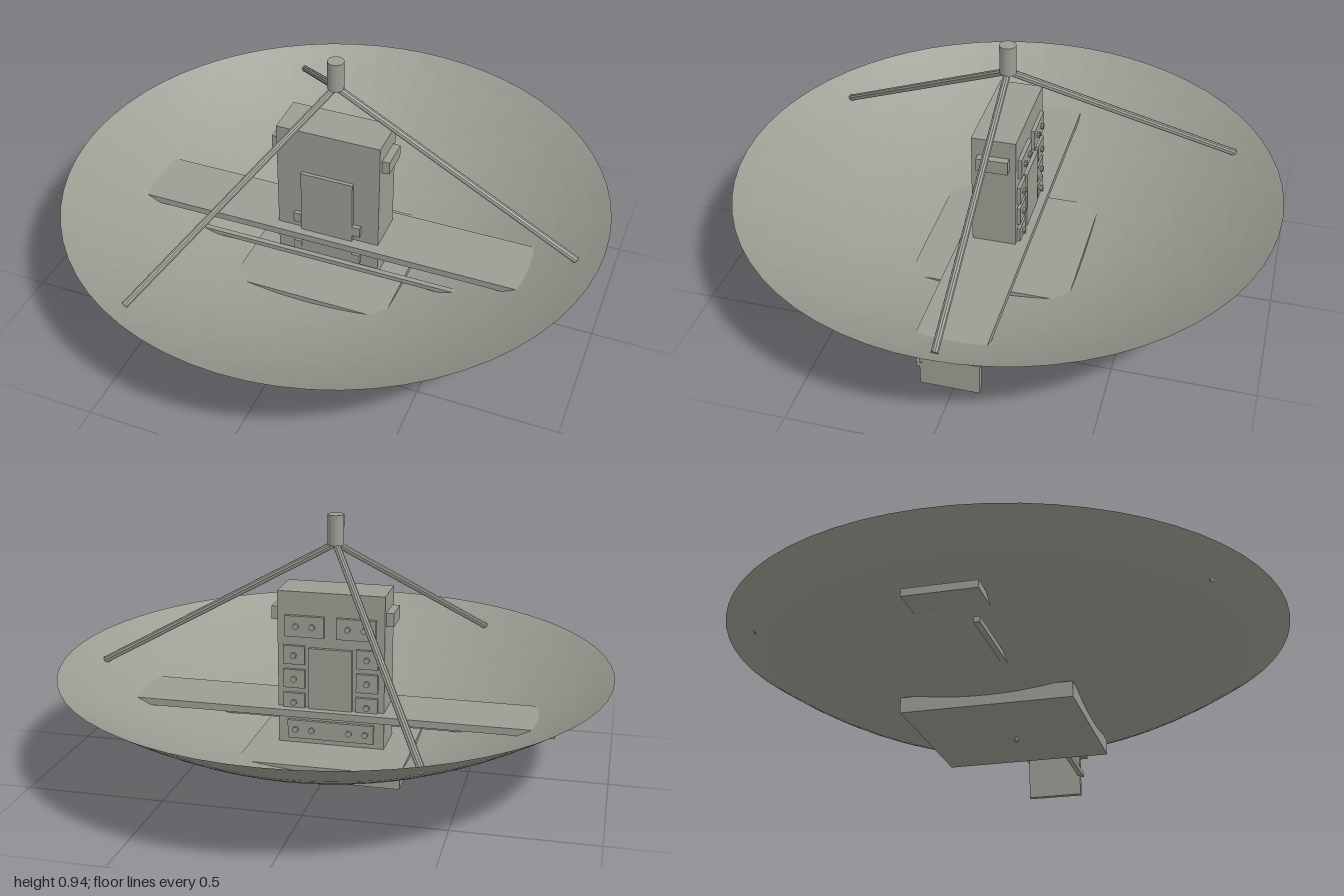
import * as THREE from 'three';

export function createModel() {
  const root = new THREE.Group();
  root.name = 'dishAntenna';
  const grey = new THREE.MeshStandardMaterial({ color: 0x9c9e94, flatShading: true, side: THREE.DoubleSide });
  grey.name = 'warmGrey';

  const add = (name, geo, x = 0, y = 0, z = 0) => {
    const m = new THREE.Mesh(geo, grey);
    m.name = name;
    m.position.set(x, y, z);
    root.add(m);
    return m;
  };
  // box given by its limits on each axis
  const box = (name, x0, x1, y0, y1, z0, z1) =>
    add(name, new THREE.BoxGeometry(x1 - x0, y1 - y0, z1 - z0), (x0 + x1) / 2, (y0 + y1) / 2, (z0 + z1) / 2);
  // round bar between two points
  const bar = (name, a, b, r, sides = 10) => {
    const d = b.clone().sub(a);
    const m = add(name, new THREE.CylinderGeometry(r, r, d.length(), sides));
    m.position.copy(a).add(b).multiplyScalar(0.5);
    m.quaternion.setFromUnitVectors(new THREE.Vector3(0, 1, 0), d.normalize());
    return m;
  };

  // parabolic dish
  const profile = [];
  for (let i = 0; i <= 16; i++) {
    const r = i / 16;
    profile.push(new THREE.Vector2(r, 0.04 + 0.345 * r * r));
  }
  add('dish', new THREE.LatheGeometry(profile, 64));

  // feed horn on a tripod
  add('feedHorn', new THREE.CylinderGeometry(0.03, 0.03, 0.11, 16), 0, 0.88, 0);
  for (let i = 0; i < 3; i++) {
    const a = (i * Math.PI * 2) / 3;
    bar('strut', new THREE.Vector3(0, 0.83, 0),
      new THREE.Vector3(0.905 * Math.cos(a), 0.325, 0.905 * Math.sin(a)), 0.013);
  }

  // base, table, end panel and rail
  box('basePlate', -0.296, 0.296, 0.036, 0.09, -0.296, 0.296);
  box('tableTop', -0.81, 0.81, 0.204, 0.23, -0.123, 0.123);
  box('endPanel', 0.74, 0.762, 0.036, 0.204, -0.104, 0.104);
  box('sideRail', -0.765, 0.765, 0.113, 0.131, 0.095, 0.115);

  // equipment cabinet with front door
  box('cabinet', -0.197, 0.197, 0.09, 0.665, -0.08, 0.08);
  box('frontDoor', -0.1, 0.1, 0.11, 0.488, 0.08, 0.094);
  for (const s of [-1, 1]) {
    box('sideHandle', s * 0.211 - 0.014, s * 0.211 + 0.014, 0.55, 0.6, -0.057, 0.057);
    for (const y of [0.15, 0.28]) box('doorLatch', s * 0.115 - 0.015, s * 0.115 + 0.015, y - 0.02, y + 0.02, 0.08, 0.096);
  }

  // rear instrument panels with knobs
  const knob = (x, y, z) => {
    add('knob', new THREE.CylinderGeometry(0.011, 0.011, 0.012, 10), x, y, z).rotation.x = Math.PI / 2;
  };
  box('rearCentrePanel', -0.08, 0.08, 0.2, 0.46, -0.094, -0.08);
  box('rearLowerPanel', -0.16, 0.16, 0.11, 0.18, -0.092, -0.08);
  for (const s of [-1, 1]) {
    box('rearUpperPanel', s * 0.095 - 0.072, s * 0.095 + 0.072, 0.5, 0.578, -0.094, -0.08);
    for (const dx of [-0.03, 0.03]) {
      knob(s * 0.095 + dx, 0.54, -0.098);
      knob(s * 0.1 + dx, 0.145, -0.096);
    }
    for (let i = 0; i < 3; i++) {
      const y = 0.25 + i * 0.09;
      box('rearModule', s * 0.135 - 0.04, s * 0.135 + 0.04, y - 0.035, y + 0.035, -0.092, -0.08);
      knob(s * 0.135, y, -0.096);
    }
  }

  // small cable stub under the base
  bar('cableStub', new THREE.Vector3(-0.018, 0.008, 0.035), new THREE.Vector3(0.035, 0.034, 0.022), 0.006, 8);
  add('cableEnd', new THREE.SphereGeometry(0.01, 8, 6), -0.012, 0.01, 0.034);

  return root;
}
